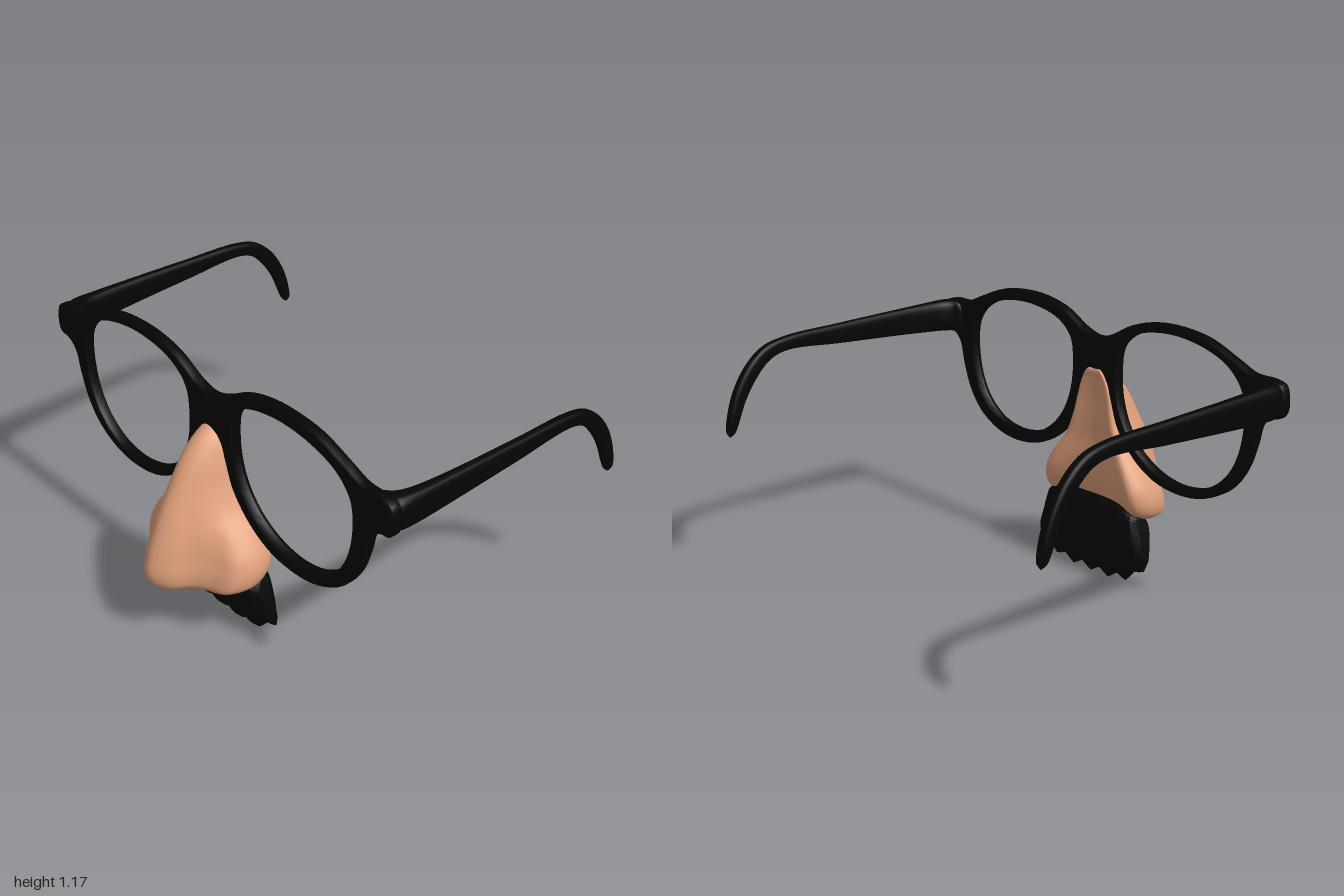
import * as THREE from 'three';
import { toCreasedNormals } from 'three/addons/utils/BufferGeometryUtils.js';

const V = (x, y, z) => new THREE.Vector3(x, y, z);

// Smooth closed loop through [x, y] pairs, returned as Vector2 points
function loop(pairs, n) {
  const curve = new THREE.CatmullRomCurve3(pairs.map(([x, y]) => V(x, y, 0)), true);
  return curve.getPoints(n).slice(0, n).map((p) => new THREE.Vector2(p.x, p.y));
}

// Skin over rings of equal point count, smoothed from ring to ring;
// a ring shrunk to a point or line closes its end
function loft(rings, rows) {
  const n = rings[0].length;
  const columns = rings[0].map((_, j) => new THREE.CatmullRomCurve3(rings.map((r) => r[j])));
  const pos = [], index = [];
  for (let i = 0; i <= rows; i++) {
    for (const c of columns) pos.push(...c.getPoint(i / rows).toArray());
  }
  for (let i = 0; i < rows; i++) {
    for (let j = 0; j < n; j++) {
      const a = i * n + j, b = i * n + (j + 1) % n;
      index.push(a, b, a + n, b, b + n, a + n);
    }
  }
  const g = new THREE.BufferGeometry();
  g.setAttribute('position', new THREE.Float32BufferAttribute(pos, 3));
  g.setIndex(index);
  g.computeVertexNormals();
  return g;
}

// Front frame: one outline with two lens openings
function frameGeometry() {
  const half = [
    [0.08, 1.075], [0.2, 1.137], [0.31, 1.166], [0.43, 1.175], [0.6, 1.157], [0.75, 1.1], [0.84, 1.064],
    [0.94, 1.06], [0.985, 1.045], [1, 1], [1, 0.95], [0.982, 0.917], [0.935, 0.908], [0.89, 0.87],
    [0.865, 0.78], [0.825, 0.67], [0.75, 0.57], [0.63, 0.502], [0.5, 0.48], [0.35, 0.503],
    [0.23, 0.572], [0.135, 0.68], [0.09, 0.8], [0.07, 0.86], [0.04, 0.895],
  ];
  const mirrored = half.map(([x, y]) => [-x, y]).reverse();
  const shape = new THREE.Shape(loop([[0, 1.055], ...half, [0, 0.905], ...mirrored], 260));
  const lens = [
    [0.122, 0.92], [0.14, 1.03], [0.22, 1.1], [0.4, 1.138], [0.58, 1.122], [0.72, 1.07], [0.795, 0.99],
    [0.815, 0.89], [0.795, 0.74], [0.735, 0.625], [0.63, 0.545], [0.5, 0.518], [0.37, 0.54],
    [0.26, 0.6], [0.18, 0.69], [0.135, 0.8],
  ];
  for (const s of [1, -1]) {
    shape.holes.push(new THREE.Path(loop(lens.map(([x, y]) => [s * x, y]), 96)));
  }
  const g = new THREE.ExtrudeGeometry(shape, {
    depth: 0.026, bevelThickness: 0.013, bevelSize: 0.01, bevelOffset: -0.01, bevelSegments: 4,
  });
  return toCreasedNormals(g.translate(0, 0, 0.429), 0.7);
}

// Temple: tapering arm that hooks down behind the ear; its front end closes inside the frame
function templeGeometry(side) {
  // z, y, half height, inner x, outer x
  const st = [
    [0.445, 0.985, 0, 0.93, 0.93], [0.435, 0.985, 0.066, 0.868, 0.99], [0.41, 0.985, 0.071, 0.874, 0.999],
    [0.39, 0.985, 0.071, 0.898, 1], [0.36, 0.985, 0.07, 0.917, 1], [0.3, 0.985, 0.067, 0.931, 1],
    [0.15, 0.987, 0.06, 0.944, 0.998], [-0.2, 0.992, 0.044, 0.95, 0.995],
    [-0.48, 0.995, 0.03, 0.947, 0.993], [-0.58, 0.968, 0.032, 0.946, 0.993], [-0.66, 0.9, 0.034, 0.945, 0.993],
    [-0.725, 0.8, 0.031, 0.945, 0.993], [-0.765, 0.69, 0.024, 0.948, 0.99], [-0.775, 0.655, 0.018, 0.955, 0.983],
    [-0.779, 0.634, 0, 0.969, 0.969],
  ];
  const round = (v) => Math.sign(v) * Math.abs(v) ** 0.65;
  const rings = st.map(([z, y, hh, xin, xout], i) => {
    const p = st[Math.max(i - 1, 0)], q = st[Math.min(i + 1, st.length - 1)];
    const dz = q[0] - p[0], dy = q[1] - p[1], len = Math.hypot(dz, dy);
    return Array.from({ length: 24 }, (_, j) => {
      const a = (j / 24) * Math.PI * 2, up = hh * round(Math.cos(a));
      const x = side * (xin + xout) / 2 + (xout - xin) / 2 * round(Math.sin(a));
      return V(x, y - (dz / len) * up, z + (dy / len) * up);
    });
  });
  return loft(rings, 84);
}

// Nose: slim bridge section blending into a tip with flared wings
function noseGeometry() {
  const bridge = [[0, 1], [0.3, 0.95], [0.55, 0.81], [0.76, 0.6], [0.91, 0.35], [1, 0.1], [0.9, 0], [0.5, 0.02], [0, 0.04]];
  const base = [[0, 1], [0.24, 0.9], [0.42, 0.69], [0.63, 0.565], [0.9, 0.46], [1, 0.2], [0.88, 0], [0.5, 0.05], [0, 0.08]];
  // y, half width, front z, back z, share of the base section
  const levels = [
    [0.292, 0, 0.6, 0.6, 1], [0.288, 0.1, 0.67, 0.54, 1], [0.282, 0.22, 0.745, 0.47, 1],
    [0.308, 0.28, 0.78, 0.43, 1], [0.36, 0.3, 0.795, 0.395, 1], [0.43, 0.29, 0.78, 0.38, 0.95],
    [0.51, 0.243, 0.75, 0.385, 0.7], [0.6, 0.172, 0.71, 0.4, 0.35], [0.7, 0.127, 0.655, 0.405, 0.1],
    [0.8, 0.099, 0.595, 0.41, 0], [0.87, 0.073, 0.535, 0.41, 0], [0.912, 0.042, 0.48, 0.41, 0],
    [0.929, 0, 0.435, 0.435, 0],
  ];
  const rings = levels.map(([y, w, zf, zb, k]) => {
    const half = bridge.map(([u, v], i) => [
      w * THREE.MathUtils.lerp(u, base[i][0], k),
      zb + (zf - zb) * THREE.MathUtils.lerp(v, base[i][1], k),
    ]);
    const back = half.slice(1, -1).reverse().map(([x, z]) => [-x, z]);
    return loop([...half, ...back], 64).map((p) => V(p.x, y, p.y));
  });
  return loft(rings, 72);
}

// Moustache: flattened tuft with a jagged lower edge and faint vertical strands
function moustacheGeometry() {
  const N = 24;
  const saw = (u) => 1 - Math.abs(2 * ((u * 3 + 9) % 1) - 1);
  // height share, half width, front z, back z
  const levels = [
    [0, 0.321, 0.41, 0.41], [0.18, 0.32, 0.462, 0.378], [0.35, 0.311, 0.485, 0.37],
    [0.55, 0.299, 0.503, 0.368], [0.78, 0.283, 0.505, 0.37], [0.95, 0.27, 0.47, 0.385], [1, 0.265, 0.42, 0.42],
  ];
  const rings = levels.map(([f, w, zf, zb]) => {
    const point = (u, dir) => {
      const low = 0.004 + 0.09 * u ** 4 + 0.03 * saw(u);
      const high = 0.36 - 0.04 * u ** 4;
      const depth = (zf - zb) / 2 * Math.max(0.4, Math.sqrt(1 - u ** 12)) * (1 - 0.05 * saw(u));
      return V(u * w, THREE.MathUtils.lerp(low, high, f), (zf + zb) / 2 + dir * depth);
    };
    const us = Array.from({ length: N + 1 }, (_, i) => (2 * i) / N - 1);
    return [...us.map((u) => point(u, 1)), ...us.reverse().map((u) => point(u, -1))];
  });
  const g = loft(rings, 18).toNonIndexed();
  g.computeVertexNormals();
  return g;
}

export function createModel() {
  const group = new THREE.Group();
  const black = new THREE.MeshStandardMaterial({ color: 0x050505, side: THREE.DoubleSide });
  const skin = new THREE.MeshStandardMaterial({ color: 0xe0a07c, side: THREE.DoubleSide });
  const add = (name, geometry, material) => {
    const mesh = new THREE.Mesh(geometry, material);
    mesh.name = name;
    group.add(mesh);
  };
  add('frame', frameGeometry(), black);
  add('leftTemple', templeGeometry(1), black);
  add('rightTemple', templeGeometry(-1), black);
  add('nose', noseGeometry(), skin);
  add('moustache', moustacheGeometry(), black);
  return group;
}
